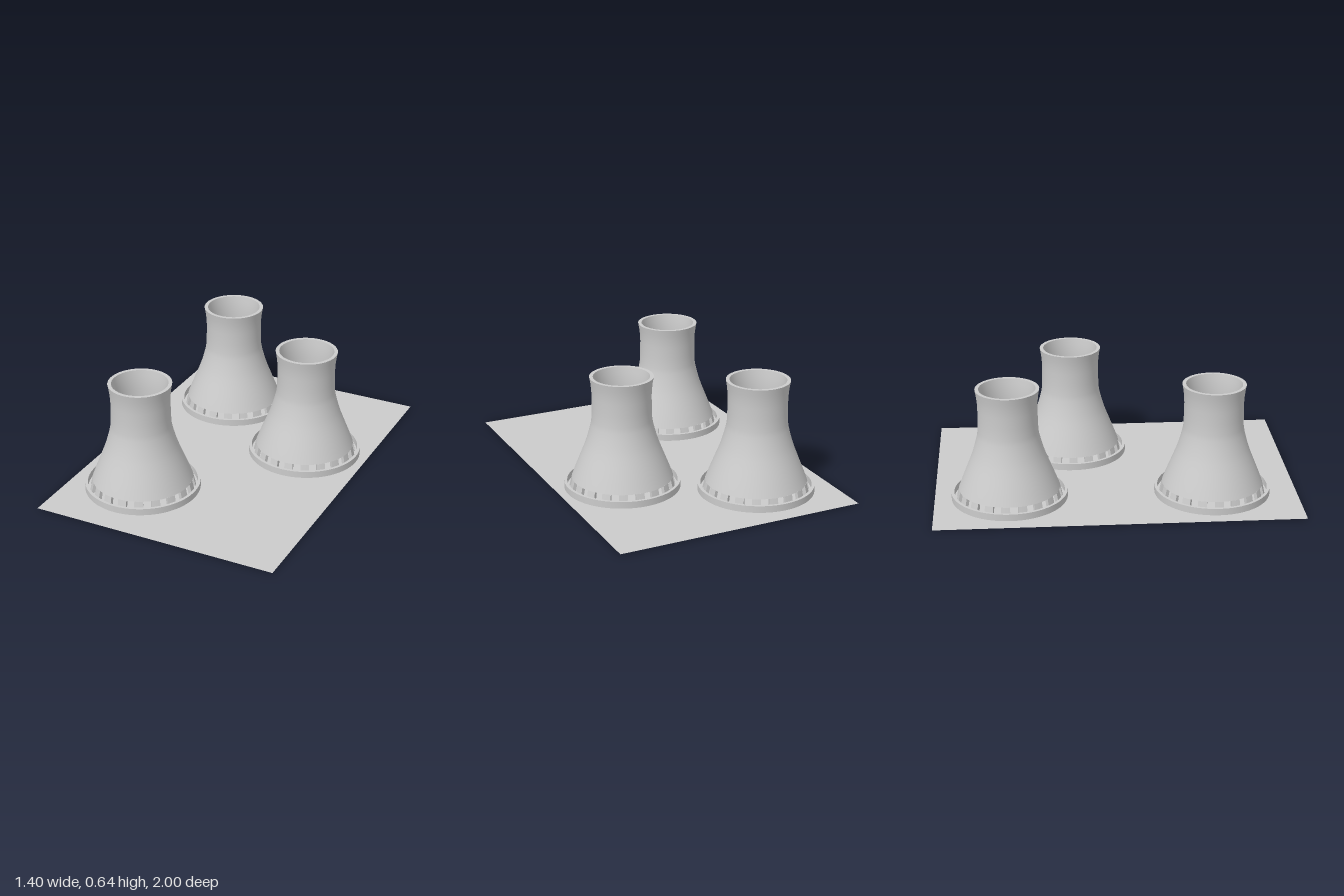
import * as THREE from 'three';
import { toCreasedNormals } from 'three/addons/utils/BufferGeometryUtils.js';

const material = new THREE.MeshStandardMaterial({ color: 0xcccccc });
const LEGS = 19, LEG_TOP = 0.065, GROUND_Y = 0.005, WALL = 0.02;

function addMesh(parent, name, geometry, mat = material) {
  const mesh = new THREE.Mesh(geometry, mat);
  mesh.name = name;
  parent.add(mesh);
  return mesh;
}

// Closed [radius, height] profile turned around y, with sharp rims
function turned(points, segments) {
  const profile = [...points, points[0]].map(([r, y]) => new THREE.Vector2(r, y));
  return toCreasedNormals(new THREE.LatheGeometry(profile, segments), 0.6);
}

// Box bent into an arc: x becomes the angle, z the radius, leaning in upwards
function legGeometry(angle, span) {
  const g = new THREE.BoxGeometry(span, LEG_TOP, WALL, 3, 1, 1);
  const p = g.attributes.position;
  for (let i = 0; i < p.count; i++) {
    const y = p.getY(i) + LEG_TOP / 2;
    const r = 0.293 - WALL / 2 + p.getZ(i) - 0.015 * (y / LEG_TOP);
    const a = angle + p.getX(i);
    p.setXYZ(i, r * Math.sin(a), y, r * Math.cos(a));
  }
  g.computeVertexNormals();
  return g;
}

function coolingTower(name, x, z, turn) {
  const tower = new THREE.Group();
  tower.name = name;
  tower.position.set(x, 0, z);

  // Hollow shell: flared skirt, straight throat, slightly flared rim
  const outer = [
    [0.278, LEG_TOP], [0.261, 0.11], [0.243, 0.155], [0.225, 0.2], [0.207, 0.245],
    [0.193, 0.285], [0.18, 0.33], [0.17, 0.37], [0.165, 0.4], [0.163, 0.46],
    [0.162, 0.53], [0.164, 0.57], [0.168, 0.605], [0.174, 0.64],
  ];
  const inner = outer.map(([r, y]) => [r - WALL, y]).reverse();
  addMesh(tower, 'shell', turned([...outer, ...inner], 64));

  // Legs standing between the air inlets
  const legs = new THREE.Group();
  legs.name = 'legs';
  const step = (Math.PI * 2) / LEGS;
  for (let i = 0; i < LEGS; i++) {
    addMesh(legs, 'leg', legGeometry(turn + i * step, step * 0.52));
  }
  tower.add(legs);

  // Low basin wall around the foot
  addMesh(tower, 'basinWall', turned(
    [[0.32, GROUND_Y + 0.001], [0.32, 0.044], [0.304, 0.044], [0.304, GROUND_Y + 0.001]], 64));
  return tower;
}

export function createModel() {
  const model = new THREE.Group();
  model.name = 'coolingTowers';

  // Thin ground sheet
  const groundMaterial = material.clone();
  groundMaterial.side = THREE.DoubleSide;
  const ground = addMesh(model, 'ground', new THREE.PlaneGeometry(1.4, 2), groundMaterial);
  ground.rotation.x = -Math.PI / 2;
  ground.position.y = GROUND_Y;

  model.add(
    coolingTower('backTower', -0.3, -0.588, 0),
    coolingTower('middleTower', 0.335, -0.222, 0.09),
    coolingTower('frontTower', -0.308, 0.533, 0.1),
  );
  return model;
}
